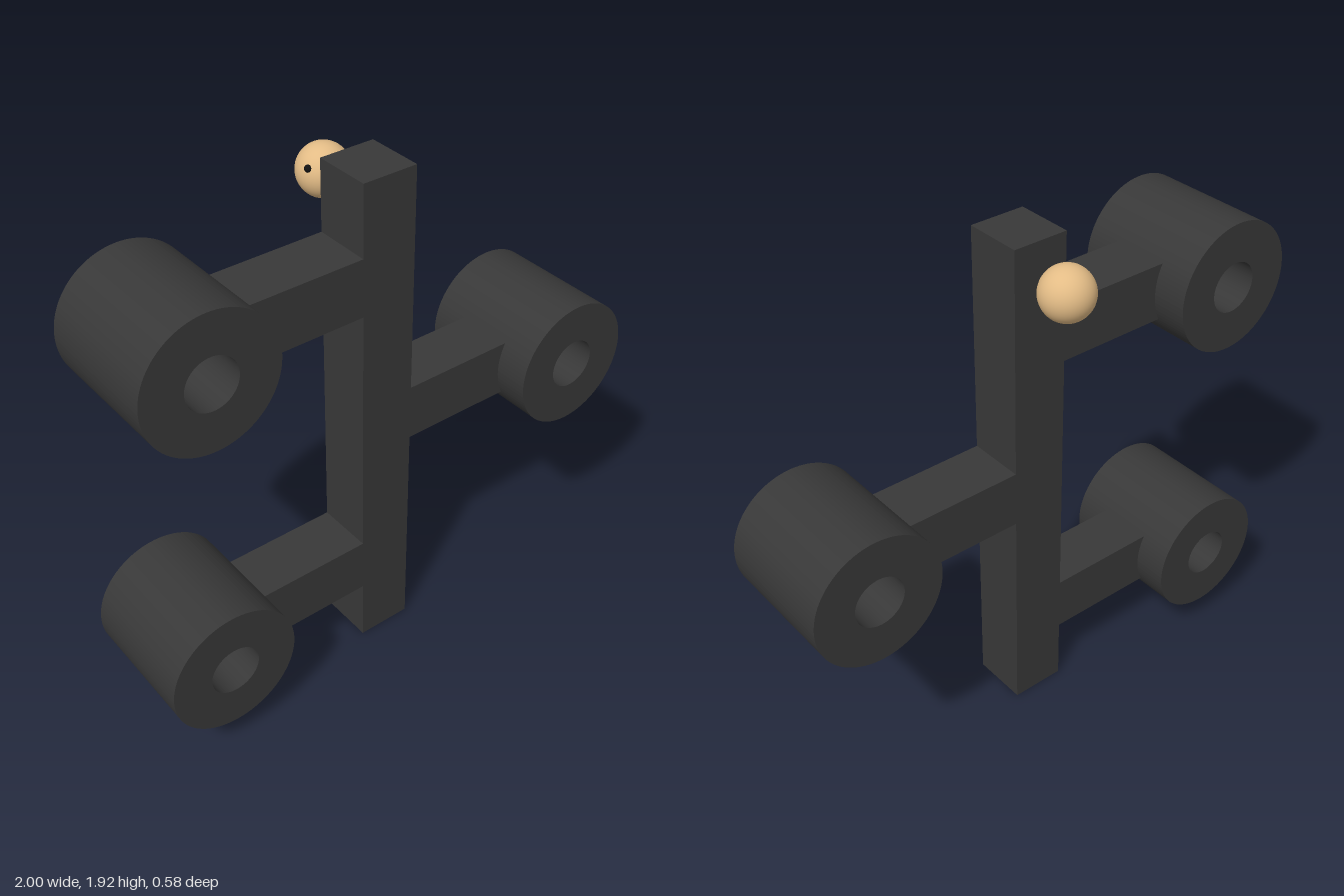
import * as THREE from 'three';

const dark = new THREE.MeshStandardMaterial({ color: 0x383838 });
const tan = new THREE.MeshStandardMaterial({ color: 0xe3bc86 });
const black = new THREE.MeshStandardMaterial({ color: 0x111111 });

// Box given by its limits on each axis
function block(name, [x0, x1], [y0, y1], [z0, z1]) {
  const mesh = new THREE.Mesh(new THREE.BoxGeometry(x1 - x0, y1 - y0, z1 - z0), dark);
  mesh.position.set((x0 + x1) / 2, (y0 + y1) / 2, (z0 + z1) / 2);
  mesh.name = name;
  return mesh;
}

// Thick tube with a bore running front to back
function sleeveGeometry(outer, inner, length) {
  const shape = new THREE.Shape().absarc(0, 0, outer, 0, Math.PI * 2, false);
  shape.holes.push(new THREE.Path().absarc(0, 0, inner, 0, Math.PI * 2, true));
  return new THREE.ExtrudeGeometry(shape, { depth: length, bevelEnabled: false, curveSegments: 48 });
}

export function createModel() {
  const model = new THREE.Group();
  model.name = 'bracket';
  const depth = [-0.065, 0.152];

  // Upright post
  model.add(block('post', [-0.108, 0.1], [0, 1.92], depth));

  // Side arms, each ending in a sleeve
  const sleeve = sleeveGeometry(0.243, 0.094, 0.485);
  const branches = [
    ['upperRight', -1, 1.55],
    ['middleLeft', 1, 0.963],
    ['lowerRight', -1, 0.355],
  ];
  for (const [name, side, y] of branches) {
    const branch = new THREE.Group();
    branch.name = name + 'Branch';
    const span = side < 0 ? [-0.54, -0.1] : [0.09, 0.54];
    branch.add(block('arm', span, [y - 0.105, y + 0.11], depth));
    const ring = new THREE.Mesh(sleeve, dark);
    ring.name = 'sleeve';
    ring.position.set(side * 0.757, y, -0.2);
    branch.add(ring);
    model.add(branch);
  }

  // Round knob behind the top of the post
  const knob = new THREE.Mesh(new THREE.SphereGeometry(0.094, 40, 28), tan);
  knob.name = 'knob';
  knob.position.set(0, 1.795, -0.196);
  model.add(knob);

  // Small dark dimple on the knob's right side
  const dot = new THREE.Mesh(new THREE.SphereGeometry(0.013, 16, 12), black);
  dot.name = 'knobDot';
  dot.position.set(-0.08, 0.037, 0.027);
  knob.add(dot);

  return model;
}
